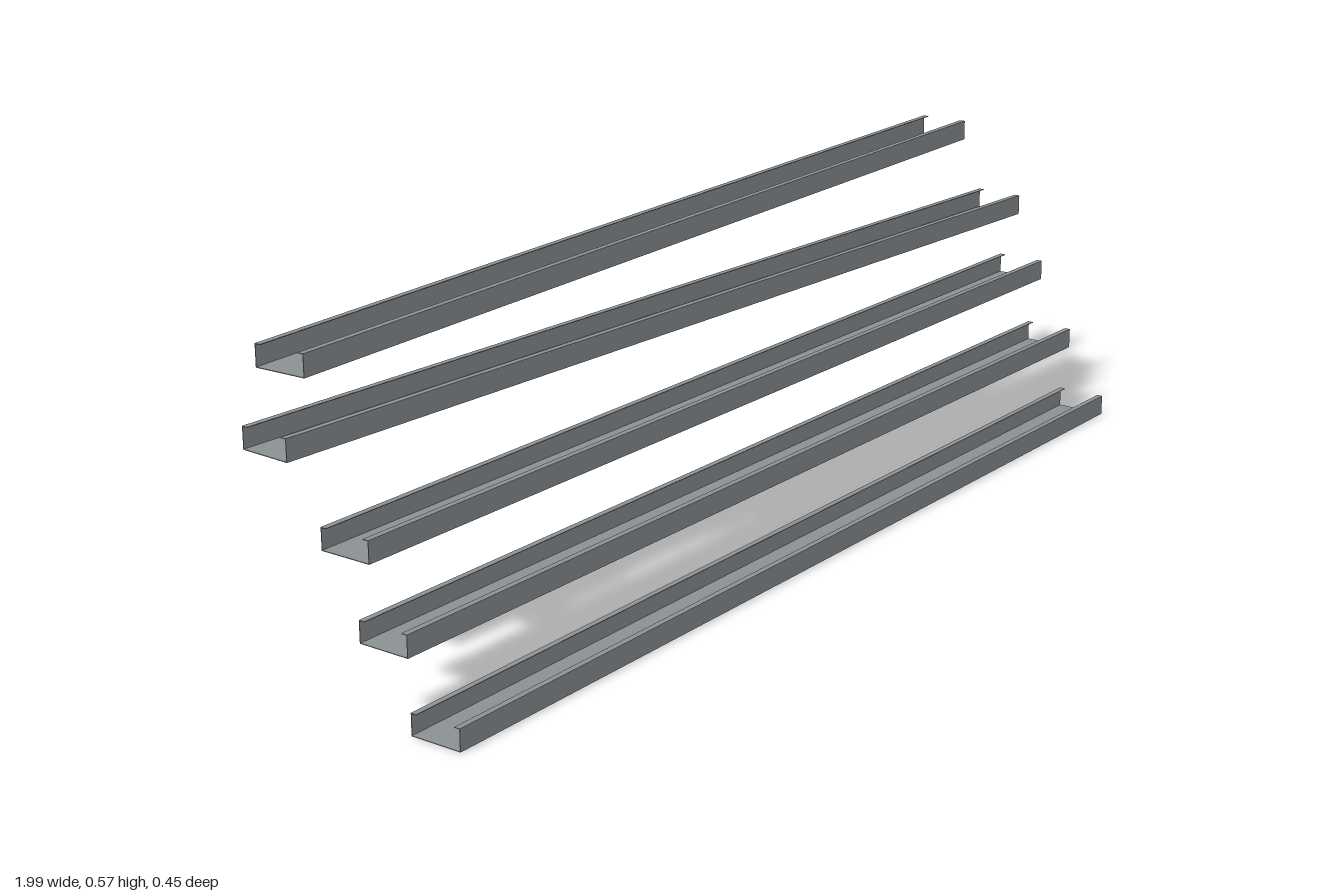
import * as THREE from 'three';

const LENGTH = 1.968, WIDTH = 0.0965, HEIGHT = 0.038, LIP = 0.011, WALL = 0.0012;

// Lipped C-channel, open at the top, running along x
function channelGeometry() {
  const w = WIDTH / 2, i = w - WALL, h = HEIGHT, t = WALL;
  const right = [[w, 0], [w, h], [w - LIP, h], [w - LIP, h - t], [i, h - t], [i, t]];
  const left = right.map(([x, y]) => [-x, y]).reverse();
  const shape = new THREE.Shape([...right, ...left].map(([x, y]) => new THREE.Vector2(x, y)));
  const geometry = new THREE.ExtrudeGeometry(shape, { depth: LENGTH, bevelEnabled: false });
  geometry.translate(0, 0, -LENGTH / 2);
  geometry.rotateY(Math.PI / 2);
  return geometry;
}

export function createModel() {
  const group = new THREE.Group();
  group.name = 'channelStack';
  const steel = new THREE.MeshStandardMaterial({ color: 0x8b9193 });
  steel.name = 'galvanised steel grey';
  const geometry = channelGeometry();

  // Centre x, centre z and yaw of each channel, from the lowest up
  const rows = [
    [0.011, 0.1685, 0.0078],
    [-0.002, 0.089, 0.001],
    [-0.002, 0.0185, 0.001],
    [-0.014, -0.079, -0.0492],
    [0, -0.1375, 0.0376],
  ];
  rows.forEach(([x, z, yaw], n) => {
    const channel = new THREE.Mesh(geometry, steel);
    channel.name = `channel${n + 1}`;
    channel.position.set(x, n * 0.1318, z);
    channel.rotation.y = yaw;
    group.add(channel);
  });
  return group;
}
